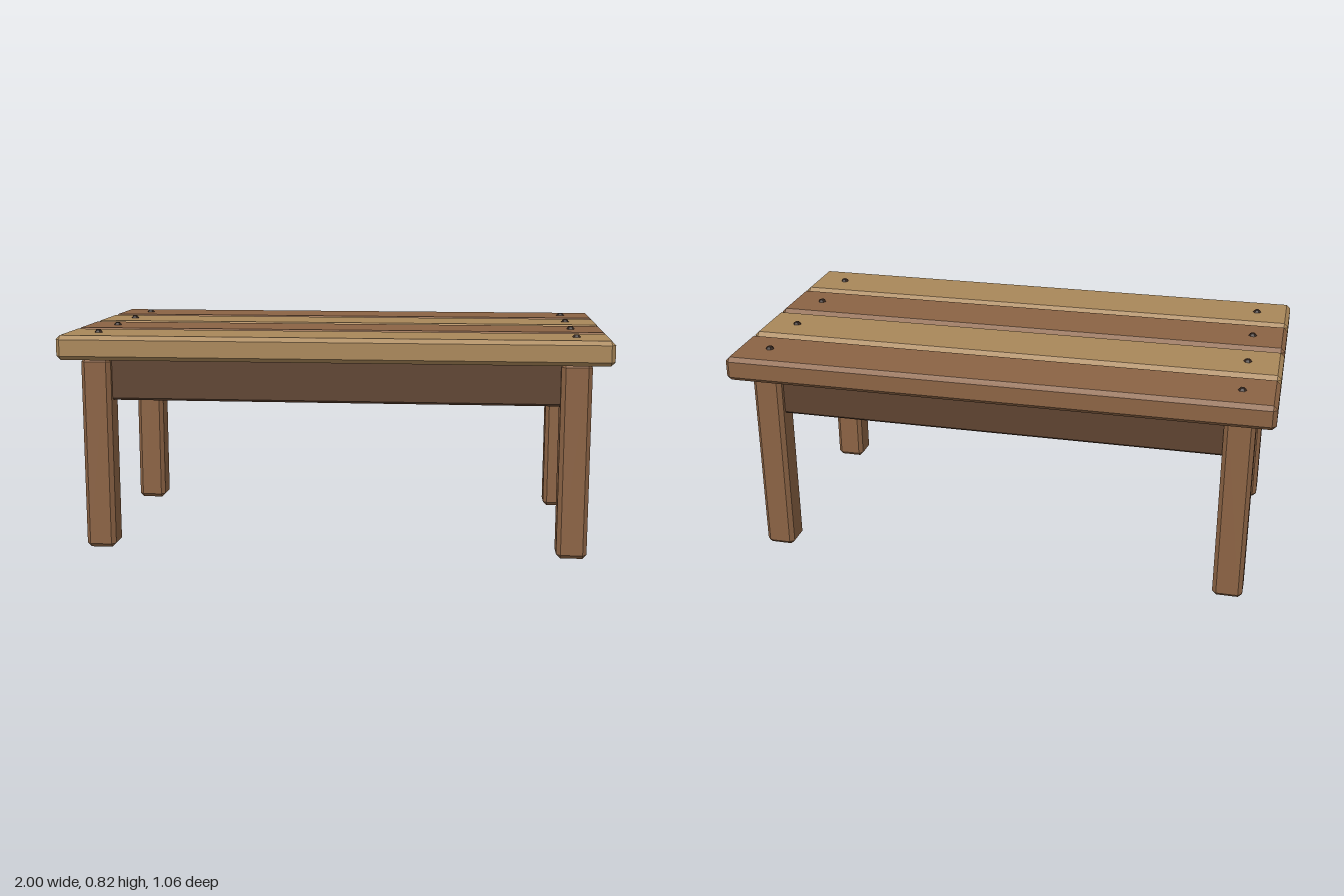
import * as THREE from 'three';
import { ConvexGeometry } from 'three/addons/geometries/ConvexGeometry.js';

const material = (name, color) => {
  const m = new THREE.MeshStandardMaterial({ color });
  m.name = name;
  return m;
};

// Box with every edge and corner cut flat by c
function chamferBox(w, h, d, c) {
  const points = [];
  for (const x of [-1, 1]) for (const y of [-1, 1]) for (const z of [-1, 1]) {
    for (let axis = 0; axis < 3; axis++) {
      const half = [w / 2 - c, h / 2 - c, d / 2 - c];
      half[axis] += c;
      points.push(new THREE.Vector3(x * half[0], y * half[1], z * half[2]));
    }
  }
  return new ConvexGeometry(points);
}

export function createModel() {
  const lightWood = material('light wood', 0xa98759);
  const midWood = material('mid wood', 0x8b6344);
  const darkWood = material('dark wood', 0x5e4330);
  const iron = material('dark iron', 0x3a2a22);

  const model = new THREE.Group();
  model.name = 'plankTable';
  const add = (name, geometry, mat, x, y, z) => {
    const mesh = new THREE.Mesh(geometry, mat);
    mesh.name = name;
    mesh.position.set(x, y, z);
    model.add(mesh);
  };

  const legX = 0.875, legZ = 0.405;

  // Four top planks in alternating wood, each with a bolt at both ends
  const plank = chamferBox(2, 0.09, 0.252, 0.015);
  const bolt = new THREE.CylinderGeometry(0.009, 0.0165, 0.01, 6).toNonIndexed();
  bolt.rotateY(Math.PI / 6 + Math.PI / 3);
  bolt.computeVertexNormals();
  for (let i = 0; i < 4; i++) {
    const z = legZ - i * 0.27;
    add('topPlank', plank, i % 2 ? midWood : lightWood, 0, 0.763, z);
    for (const s of [-1, 1]) add('bolt', bolt, iron, s * 0.872, 0.812, z);
  }

  // Legs
  const leg = chamferBox(0.11, 0.719, 0.11, 0.015);
  for (const sx of [-1, 1]) for (const sz of [-1, 1]) {
    add('leg', leg, midWood, sx * legX, 0.3595, sz * legZ);
  }

  // Rails between the legs
  const longRail = chamferBox(1.66, 0.16, 0.05, 0.008);
  const shortRail = chamferBox(0.05, 0.16, 0.72, 0.008);
  for (const s of [-1, 1]) {
    add('longRail', longRail, darkWood, 0, 0.639, s * legZ);
    add('shortRail', shortRail, darkWood, s * legX, 0.639, 0);
  }
  return model;
}
